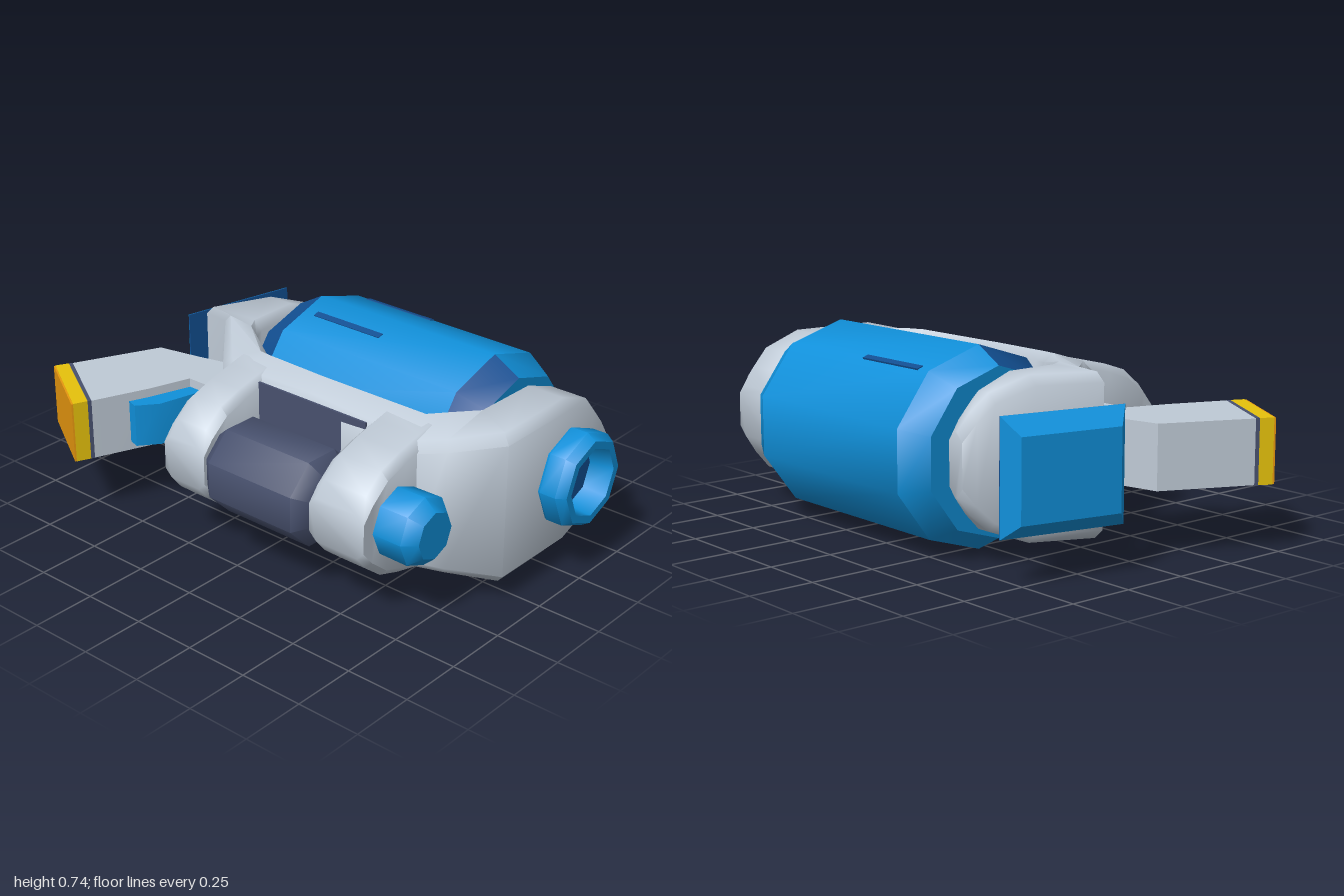
import * as THREE from 'three';
import { toCreasedNormals } from 'three/addons/utils/BufferGeometryUtils.js';

const material = (name, color) => {
  const m = new THREE.MeshStandardMaterial({ color, side: THREE.DoubleSide });
  m.name = name;
  return m;
};

const CY = 0.372; // height of the shared centre line

// Half-height of the hull at a given z (side profile)
const PROFILE = [[-0.545, 0.1], [-0.5, 0.17], [-0.44, 0.24], [-0.29, 0.297], [0.07, 0.297],
  [0.22, 0.262], [0.32, 0.238], [0.42, 0.205], [0.5, 0.14], [0.545, 0.085]];
function hullHeight(z) {
  if (z <= PROFILE[0][0]) return PROFILE[0][1];
  for (let i = 1; i < PROFILE.length; i++) {
    const [z0, h0] = PROFILE[i - 1], [z1, h1] = PROFILE[i];
    if (z <= z1) return h0 + (h1 - h0) * (z - z0) / (z1 - z0);
  }
  return PROFILE[PROFILE.length - 1][1];
}

// Solid through plan stations [ax, az, bx, bz, halfHeight?]; a lies right of travel
function sweep(stations, bevel = 0, crease = 0.5) {
  const pos = [], idx = [];
  const n = bevel ? 8 : 4;
  for (const [ax, az, bx, bz, h] of stations) {
    const ha = h ?? hullHeight(az), hb = h ?? hullHeight(bz);
    const w = Math.hypot(bx - ax, bz - az), t = Math.min(bevel / w, 0.4);
    const point = (k, y) => pos.push(ax + (bx - ax) * k, CY + y, az + (bz - az) * k);
    if (bevel) {
      point(0, ha - bevel); point(t, ha); point(1 - t, hb); point(1, hb - bevel);
      point(1, bevel - hb); point(1 - t, -hb); point(t, -ha); point(0, bevel - ha);
    } else {
      point(0, ha); point(1, hb); point(1, -hb); point(0, -ha);
    }
  }
  const last = stations.length - 1;
  for (let i = 0; i < last; i++) {
    for (let j = 0; j < n; j++) {
      const a = i * n + j, b = i * n + (j + 1) % n;
      idx.push(a, a + n, b + n, a, b + n, b);
    }
  }
  for (let j = 1; j < n - 1; j++) {
    idx.push(0, j, j + 1, last * n, last * n + j + 1, last * n + j);
  }
  const g = new THREE.BufferGeometry();
  g.setAttribute('position', new THREE.Float32BufferAttribute(pos, 3));
  g.setIndex(idx);
  return toCreasedNormals(g, crease);
}

// Faceted turned part along x; points are [radius, x]
function turned(points, sides, start = Math.PI / 2, length = Math.PI * 2, crease = 0.85) {
  const g = new THREE.LatheGeometry(points.map(p => new THREE.Vector2(...p)), sides, start, length);
  g.rotateZ(-Math.PI / 2);
  return toCreasedNormals(g, crease);
}

export function createModel() {
  const model = new THREE.Group();
  model.name = 'model';
  const grey = material('light grey', 0xbfcad6);
  const blue = material('blue', 0x1090da);
  const navy = material('dark blue', 0x124f92);
  const slate = material('slate', 0x48516e);
  const yellow = material('yellow', 0xe6c20c);
  const orange = material('orange', 0xee9c10);

  const add = (name, geometry, mat, x = 0, y = 0, z = 0) => {
    const mesh = new THREE.Mesh(geometry, mat);
    mesh.name = name;
    mesh.position.set(x, y, z);
    model.add(mesh);
    return mesh;
  };

  // U-shaped hull wrapped around the drum
  add('hull', sweep([
    [-0.48, -0.535, -0.41, -0.535], [-0.505, -0.49, -0.407, -0.49], [-0.53, -0.43, -0.405, -0.43],
    [-0.58, -0.29, -0.405, -0.29], [-0.68, -0.065, -0.40, -0.08], [-0.57, -0.055, -0.37, -0.02],
    [-0.34, 0.2, -0.2, 0.09], [-0.28, 0.24, -0.15, 0.09], [0.1, 0.24, 0.1, 0.09],
    [0.63, 0.27, 0.55, 0.09], [0.73, 0.21, 0.6, 0.04], [0.89, 0.08, 0.67, -0.04],
    [0.89, -0.29, 0.67, -0.29], [0.89, -0.44, 0.67, -0.44], [0.89, -0.5, 0.67, -0.5],
    [0.89, -0.545, 0.67, -0.545],
  ], 0.035, 0.9), grey);

  // Front blocks holding the roller
  const blockZ = [0.15, 0.22, 0.32, 0.42, 0.5, 0.545];
  for (const [name, x0, x1] of [['rightFrontBlock', -0.31, -0.11], ['leftFrontBlock', 0.395, 0.64]]) {
    add(name, sweep(blockZ.map(z => [x0, z, x1, z]), 0.03, 0.9), grey);
  }
  add('frontPanel', new THREE.BoxGeometry(0.51, 0.5, 0.009), slate, 0.143, CY, 0.246);
  add('frontRoller', turned([[0, -0.105], [0.13, -0.105], [0.18, -0.05], [0.18, 0.34], [0.13, 0.392], [0, 0.392]],
    8, Math.PI / 8), slate, 0, CY, 0.416);

  // Drum: ten-sided barrel with two-tone chamfers
  const drum = (name, points, mat, sides = 10, start = Math.PI / 2, length = Math.PI * 2) => {
    add(name, turned(points, sides, start, length), mat, 0, CY, -0.295).scale.z = 1.03;
  };
  drum('drumBarrel', [[0.372, -0.28], [0.372, 0.55]], blue);
  const ends = [
    ['Right', [[0.31, -0.39], [0.372, -0.28]], [[0, -0.39], [0.31, -0.39]]],
    ['Left', [[0.372, 0.55], [0.31, 0.66]], [[0.31, 0.66], [0, 0.66]]],
  ];
  for (const [side, chamfer, cap] of ends) {
    drum('drumFrontChamfer' + side, chamfer, navy, 5, -Math.PI / 2, Math.PI);
    drum('drumBackChamfer' + side, chamfer, blue, 5, Math.PI / 2, Math.PI);
    drum('drumCap' + side, cap, blue);
  }
  // Painted strips on top of the drum
  for (const [z, y, tilt] of [[-0.2, 0.713, 0.31], [-0.512, 0.675, -0.31]]) {
    add('drumStrip', new THREE.BoxGeometry(0.32, 0.008, 0.026), navy, -0.065, y, z).rotation.x = tilt;
  }

  // Hollow nozzle and small knob on the left side
  add('nozzle', turned([[0.17, 0.87], [0.187, 0.9], [0.187, 0.965], [0.165, 1.0], [0.135, 1.0], [0.125, 0.9], [0, 0.9]],
    8), blue, 0, CY + 0.005, -0.295);
  add('nozzleFloor', turned([[0.124, 0.905], [0, 0.905]], 4, Math.PI / 2, Math.PI), navy, 0, CY + 0.005, -0.295);
  add('knob', turned([[0.13, 0.62], [0.132, 0.76], [0.09, 0.807], [0, 0.807]], 8), blue, 0, CY + 0.003, 0.368);

  // Tool arm on the right, with a banded tip
  add('toolArm', sweep([
    [-0.42, -0.02, -0.34, 0.2, 0.12], [-0.64, 0.035, -0.52, 0.2, 0.12],
    [-0.81, 0.07, -0.575, 0.37, 0.12], [-0.965, 0.4, -0.66, 0.58, 0.12],
  ]), grey);
  add('tipBand', sweep([[-0.965, 0.4, -0.66, 0.58, 0.121], [-0.972, 0.413, -0.667, 0.593, 0.121]]), slate);
  add('tip', sweep([[-0.972, 0.413, -0.667, 0.593, 0.121], [-0.997, 0.46, -0.69, 0.645, 0.121]]), yellow);
  add('tipFace', sweep([[-0.997, 0.46, -0.69, 0.645, 0.12], [-1.0, 0.466, -0.693, 0.651, 0.12]]), orange);
  add('armWedge', sweep([
    [-0.62, 0.17, -0.45, 0.17, 0.085], [-0.64, 0.37, -0.5, 0.38, 0.085], [-0.61, 0.44, -0.56, 0.455, 0.085],
  ]), blue);

  // Right side thruster: yellow neck and flared plate
  add('thrusterNeck', sweep([[-0.5, -0.38, -0.56, -0.16, 0.1], [-0.74, -0.44, -0.8, -0.22, 0.1]]), yellow);
  add('thrusterPlate', sweep([[-0.705, -0.56, -0.81, -0.09, 0.21], [-0.79, -0.54, -0.87, -0.16, 0.15]], 0, 0.2), blue);
  add('thrusterInnerFace', sweep([[-0.7, -0.558, -0.805, -0.09, 0.209], [-0.705, -0.559, -0.81, -0.091, 0.209]]), navy);

  return model;
}
